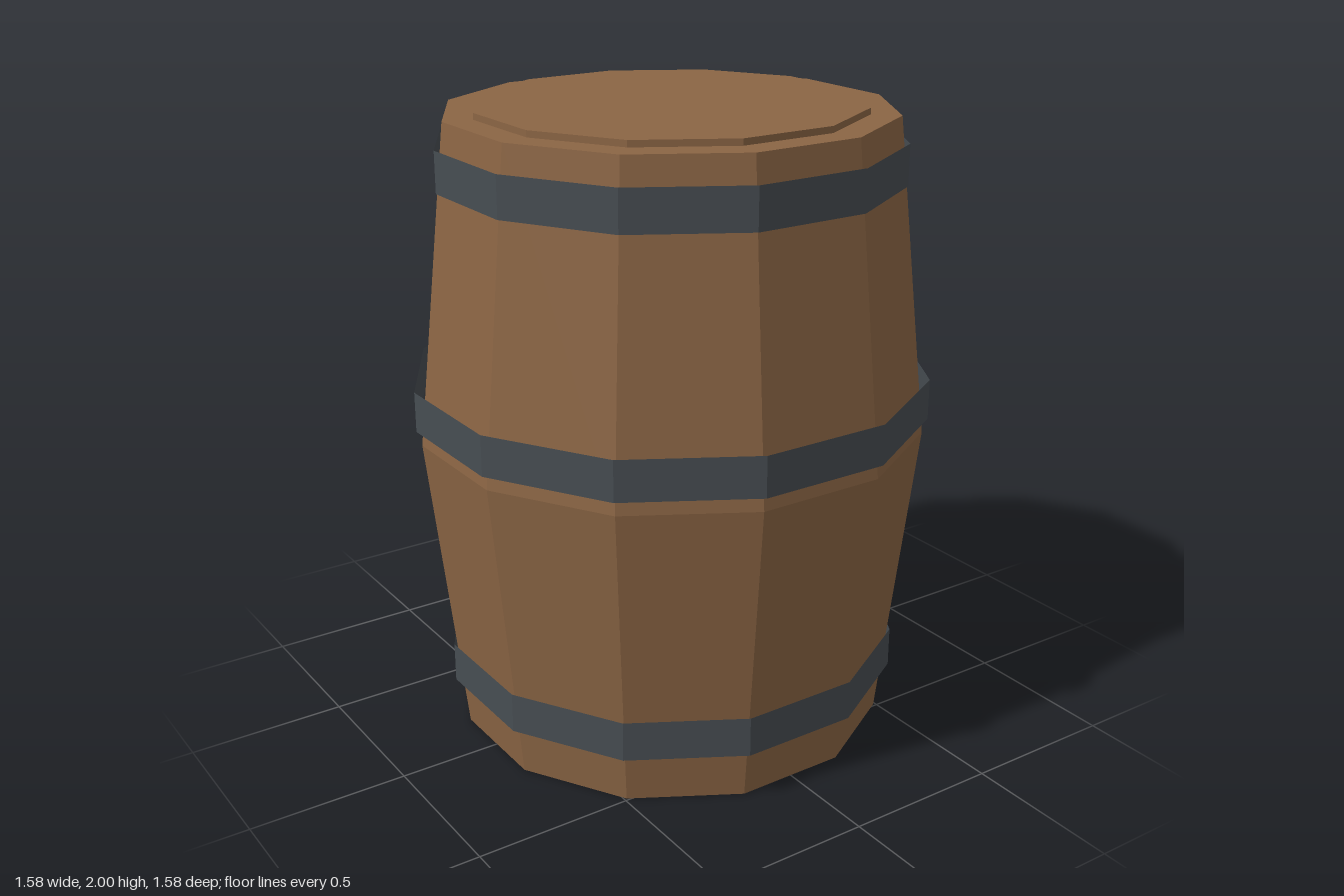
import * as THREE from 'three';

const SIDES = 12;
const TURN = Math.PI / SIDES;               // puts a flat stave on each axis
const corner = (flat) => flat / Math.cos(TURN); // flat half-width -> corner radius

export function createModel() {
  const wood = new THREE.MeshStandardMaterial({ color: 0x8b6544, flatShading: true, side: THREE.DoubleSide });
  wood.name = 'wood';
  const iron = new THREE.MeshStandardMaterial({ color: 0x474d52, flatShading: true, side: THREE.DoubleSide });
  iron.name = 'iron';

  const barrel = new THREE.Group();
  barrel.name = 'barrel';

  // Turns a [flat half-width, height] profile into a twelve-sided part
  const addTurned = (name, profile, material) => {
    const points = profile.map(([flat, y]) => new THREE.Vector2(corner(flat), y));
    const mesh = new THREE.Mesh(new THREE.LatheGeometry(points, SIDES, TURN), material);
    mesh.name = name;
    barrel.add(mesh);
  };

  // Bulging staves, open underneath and closed on top
  addTurned('staves', [[0.672, 0], [0.777, 0.99], [0.672, 1.98], [0, 1.98]], wood);

  // Slightly raised lid
  addTurned('lid', [[0.582, 1.98], [0.582, 2], [0, 2]], wood);

  // Thin straight hoops
  const hoops = [
    ['lowerHoop', 0.712, 0.16],
    ['middleHoop', 0.792, 1.037],
    ['upperHoop', 0.698, 1.77],
  ];
  for (const [name, flat, y] of hoops) addTurned(name, [[flat, y], [flat, y + 0.128]], iron);

  return barrel;
}
